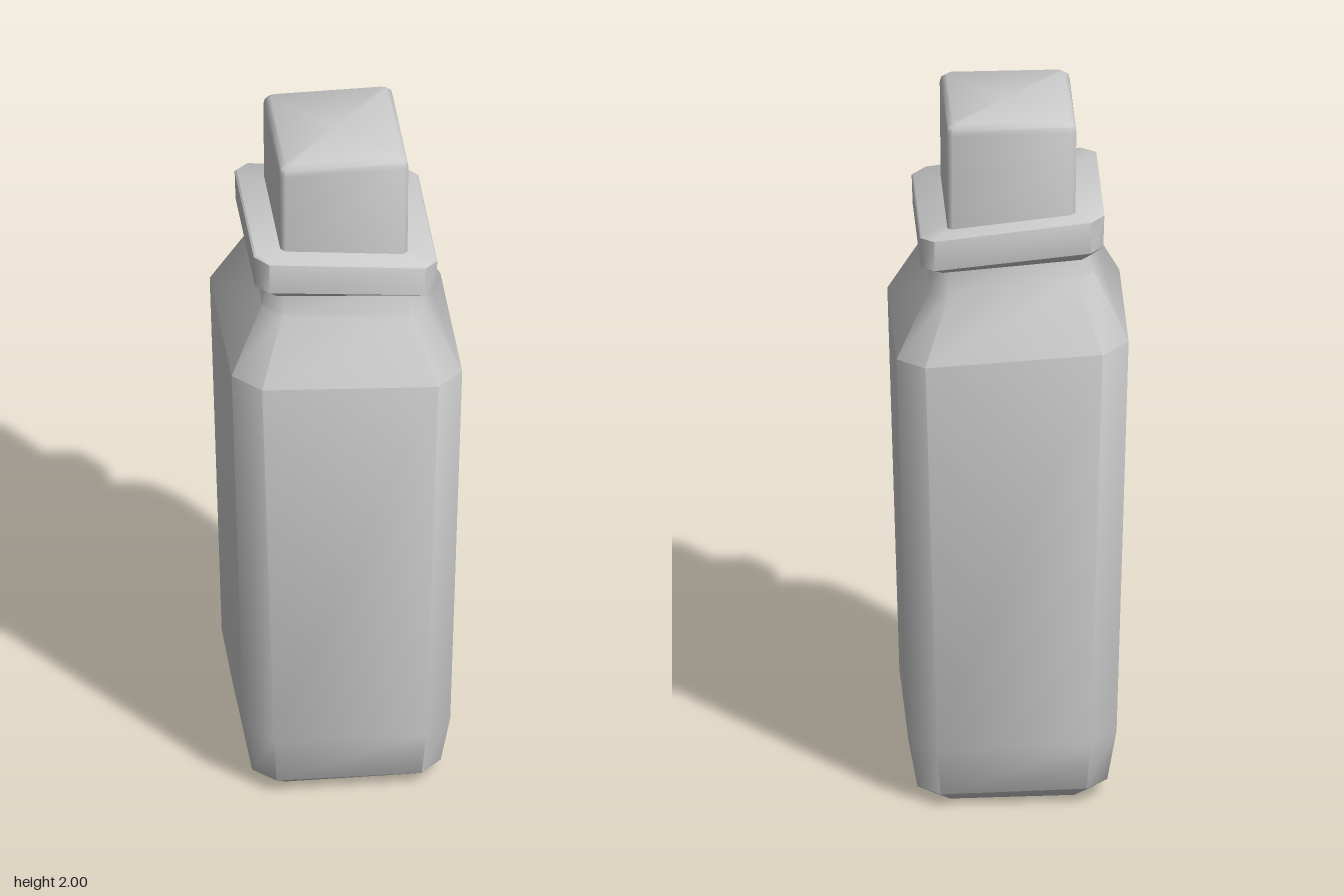
import * as THREE from 'three';
import { toCreasedNormals } from 'three/addons/utils/BufferGeometryUtils.js';

// Lofts chamfered rectangles; each ring is [y, halfX, halfZ, chamfer, tilt], where tilt slopes y along x.
function loft(name, rings, creaseDegrees) {
  const positions = [];
  const index = [];
  const n = 8;
  for (const [y, hx, hz, c, tilt] of rings) {
    const outline = [
      [hx, -hz + c], [hx, hz - c], [hx - c, hz], [-hx + c, hz],
      [-hx, hz - c], [-hx, -hz + c], [-hx + c, -hz], [hx - c, -hz],
    ];
    for (const [x, z] of outline) positions.push(x, y + tilt * x, z);
  }
  for (let r = 0; r < rings.length - 1; r++) {
    for (let i = 0; i < n; i++) {
      const a = r * n + i;
      const b = r * n + (i + 1) % n;
      index.push(a, a + n, b, b, a + n, b + n);
    }
  }
  // End caps
  const top = (rings.length - 1) * n;
  const bottomCentre = rings.length * n;
  positions.push(0, rings[0][0], 0, 0, rings.at(-1)[0], 0);
  for (let i = 0; i < n; i++) {
    const j = (i + 1) % n;
    index.push(bottomCentre, i, j, bottomCentre + 1, top + j, top + i);
  }
  const geometry = new THREE.BufferGeometry();
  geometry.setAttribute('position', new THREE.Float32BufferAttribute(positions, 3));
  geometry.setIndex(index);
  const mesh = new THREE.Mesh(
    toCreasedNormals(geometry, THREE.MathUtils.degToRad(creaseDegrees)),
    new THREE.MeshStandardMaterial({ color: 0xcccccc })
  );
  mesh.name = name;
  return mesh;
}

export function createModel() {
  const group = new THREE.Group();
  group.name = 'bottle';

  // Square bottle: base, flaring walls, sloping shoulder and neck
  group.add(loft('body', [
    [0.005, 0.21, 0.235, 0.04, -0.01],
    [0.045, 0.26, 0.29, 0.06, -0.02],
    [0.19, 0.285, 0.315, 0.075, -0.03],
    [1.345, 0.318, 0.316, 0.075, -0.06],
    [1.525, 0.226, 0.226, 0.05, -0.1],
    [1.62, 0.212, 0.212, 0.04, -0.1],
  ], 48));

  // Tilted lip around the neck
  group.add(loft('collar', [
    [1.588, 0.22, 0.22, 0.03, -0.08],
    [1.613, 0.25, 0.25, 0.036, -0.1],
    [1.703, 0.253, 0.25, 0.038, -0.11],
    [1.708, 0.248, 0.245, 0.036, -0.11],
  ], 46));

  // Square stopper with softened edges
  const stopper = loft('stopper', [
    [1.66, 0.175, 0.19, 0.012, -0.1],
    [1.97, 0.178, 0.192, 0.015, 0],
    [1.987, 0.174, 0.188, 0.014, 0],
    [2.0, 0.16, 0.174, 0.012, 0],
  ], 50);
  stopper.position.z = -0.003;
  group.add(stopper);

  return group;
}
